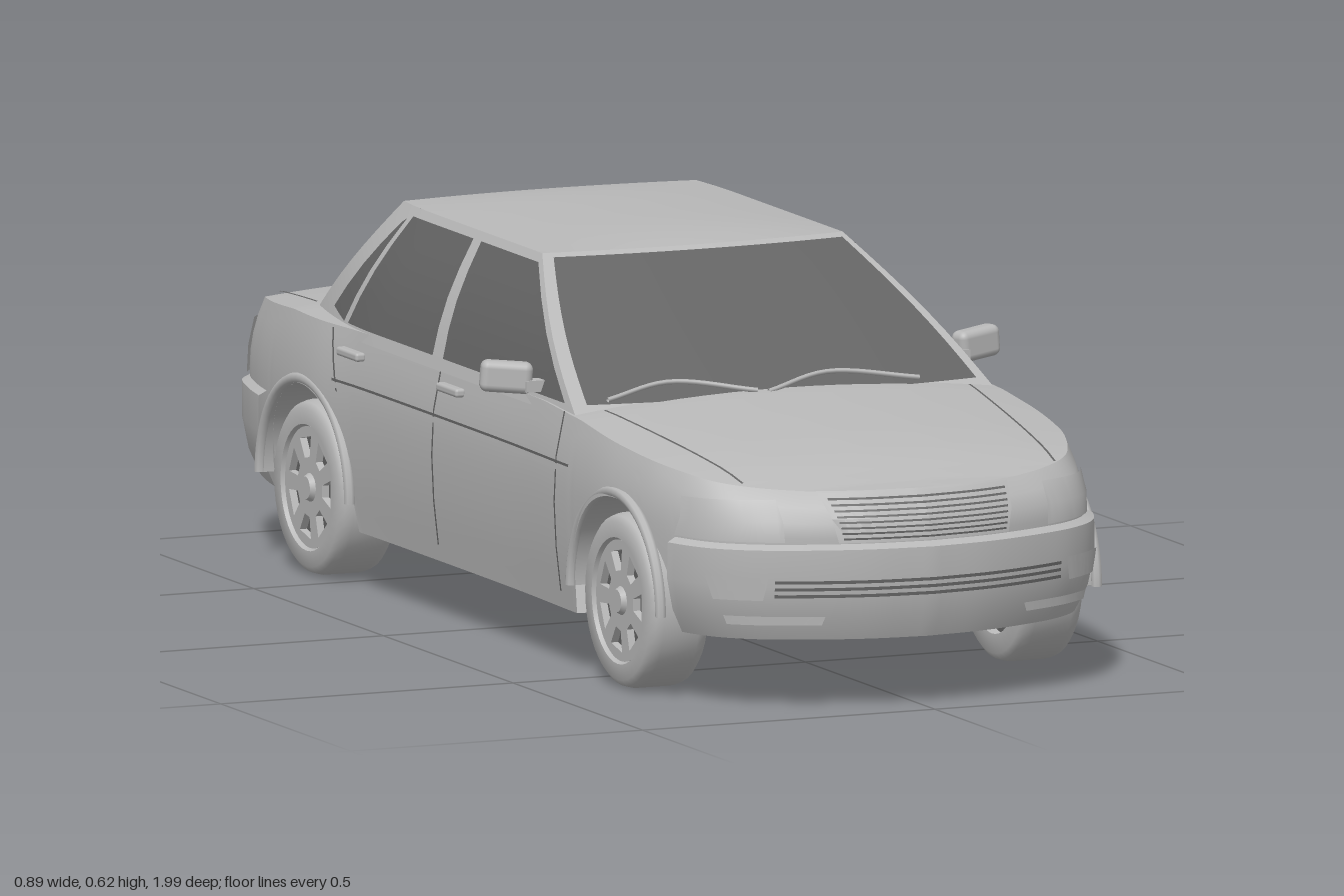
import * as THREE from 'three';
import { toCreasedNormals } from 'three/addons/utils/BufferGeometryUtils.js';
import { ParametricGeometry } from 'three/addons/geometries/ParametricGeometry.js';
import { RoundedBoxGeometry } from 'three/addons/geometries/RoundedBoxGeometry.js';

const { lerp, clamp } = THREE.MathUtils;
const N = 180, ARCH_R = 0.165, AXLE_Y = 0.138, AXLES = [0.61, -0.59];

// Half outline of the car seen from above, nose to tail: [x, z]
const outline = new THREE.CatmullRomCurve3([
  [0, 0.978], [0.1, 0.966], [0.2, 0.935], [0.27, 0.9], [0.32, 0.85], [0.36, 0.74], [0.38, 0.6], [0.38, 0.45],
  [0.373, 0.2], [0.371, -0.2], [0.373, -0.42], [0.38, -0.56], [0.366, -0.72], [0.342, -0.85], [0.312, -0.935],
  [0.27, -0.966], [0.14, -0.98], [0, -0.985],
].map(([x, z]) => new THREE.Vector3(x, 0, z)), false, 'centripetal').getSpacedPoints(N);

// Linear lookup in a short table of [key, value], keys rising
function lookup(table, k) {
  if (k <= table[0][0]) return table[0][1];
  for (let i = 1; i < table.length; i++) {
    const [a, va] = table[i - 1], [b, vb] = table[i];
    if (k <= b) return lerp(va, vb, (k - a) / (b - a));
  }
  return table[table.length - 1][1];
}
const shoulderY = z => lookup([[-0.985, 0.38], [-0.9, 0.392], [-0.67, 0.408], [-0.4, 0.41], [0.3, 0.408], [0.45, 0.4], [0.8, 0.362], [0.94, 0.342]], z);
const sillY = z => lookup([[-0.6, 0.112], [-0.5, 0.093], [0.5, 0.093], [0.6, 0.112]], z);
function bottomY(z) {
  let y = sillY(z);
  for (const c of AXLES) {
    const d = Math.abs(z - c);
    if (d < ARCH_R) y = Math.max(y, AXLE_Y + Math.sqrt(ARCH_R ** 2 - d * d));
  }
  return y;
}

// Point on the body skin at outline index i and height y, pushed out by off: [x, z]
function skin(i, y, off = 0) {
  const p = outline[i], a = outline[Math.max(0, i - 1)], b = outline[Math.min(N, i + 1)];
  const k = clamp((y - 0.28) / (shoulderY(p.z) - 0.28), 0, 1), d = clamp((0.28 - y) / 0.18, 0, 1);
  const end = clamp((Math.abs(p.z) - 0.7) / 0.2, 0, 1), len = Math.hypot(b.x - a.x, b.z - a.z);
  const inX = (0.018 * k * k + 0.015 * d * d) * Math.min(1, p.x / 0.3);
  const inZ = ((p.z > 0 ? 0.04 : 0.018) * k * k + 0.008 * d) * end * Math.sign(p.z);
  return [p.x - inX + off * (a.z - b.z) / len, p.z - inZ + off * (b.x - a.x) / len];
}
// Skin depth at the nose (dir 1) or tail (dir -1) for a given x
function endZ(x, y, off, dir) {
  let prev = null;
  for (let n = 0; n <= N; n++) {
    const p = skin(dir > 0 ? n : N - n, y, off);
    if (p[0] >= Math.abs(x)) return prev ? lerp(prev[1], p[1], (Math.abs(x) - prev[0]) / (p[0] - prev[0] || 1)) : p[1];
    prev = p;
  }
  return prev[1];
}
// Skin half width for a given z
function sideX(z, y, off = 0) {
  let prev = skin(0, y, off);
  for (let n = 1; n <= N; n++) {
    const p = skin(n, y, off);
    if (p[1] <= z) return lerp(prev[0], p[0], (prev[1] - z) / (prev[1] - p[1] || 1));
    prev = p;
  }
  return 0;
}
const deckY = (x, z) => {
  const e = sideX(z, shoulderY(z));
  return shoulderY(z) + 0.022 * (e / 0.36) ** 2 * (1 - (x / e) ** 2);
};

// Cabin rules: v runs from belt (0) to roof edge (1)
const cabinY = v => 0.395 + 0.205 * v;
const windscreenZ = v => 0.43 - 0.365 * v;
const rearScreenZ = v => -0.685 + 0.2 * v + 0.012 * Math.sin(Math.PI * v);
const cabinX = (y, z) => 0.352 - 0.5 * (y - 0.41) + 0.012 * Math.sin(Math.PI * clamp((y - 0.395) / 0.205, 0, 1))
  - 0.4 * Math.max(0, -z - 0.35) ** 2;
function screenPoint(s, v, dir, off) {
  const z = dir > 0 ? windscreenZ(v) : rearScreenZ(v), y = cabinY(v);
  const bow = (0.035 - 0.015 * v) * (1 - s * s);
  return [cabinX(y, z) * s, y + off, z + dir * (bow + off)];
}

export function createModel() {
  const car = new THREE.Group();
  car.name = 'saloonCar';
  const material = (name, color) => new THREE.MeshStandardMaterial({ name, color, side: THREE.DoubleSide });
  const paint = material('greyPaint', 0xb8b8b8), glass = material('darkGlass', 0x646464);

  const add = (name, geo, mat = paint, parent = car) => {
    const m = new THREE.Mesh(geo, mat);
    m.name = name;
    parent.add(m);
    return m;
  };
  const surface = (name, fn, nu, nv, mat = paint) => add(name, toCreasedNormals(
    new ParametricGeometry((u, v, t) => t.set(...fn(u, v)), nu, nv), 0.6), mat);
  // Bilinear blend of four corners: bottom a, b, then top c, d
  const blend = ([a, b, c, d], u, v) => [0, 1].map(k => lerp(lerp(a[k], b[k], u), lerp(d[k], c[k], u), v));
  const rect = (x0, x1, y0, y1) => [[x0, y0], [x1, y0], [x1, y1], [x0, y1]];
  const endPlate = (name, quad, off, dir, mat) => surface(name, (u, v) => {
    const [x, y] = blend(quad, u, v);
    return [x, y, endZ(x, y, off, dir)];
  }, 16, 2, mat);
  const sidePlate = (name, quad, mat, rule, off = 0.003) => [1, -1].forEach(s => surface(name, (u, v) => {
    const [z, y] = blend(quad, u, v);
    return [s * (rule(z, y) + off), y, z];
  }, 12, 4, mat));
  const mirrorQuad = quad => quad.map(([x, y]) => [-x, y]);

  // Lower body, bonnet and boot lid, floor
  surface('bodySides', (u, v) => {
    const s = 2 * u - 1, i = Math.round(Math.abs(s) * N), z0 = outline[i].z;
    const y = lerp(bottomY(z0), shoulderY(z0), v), [x, z] = skin(i, y);
    return [Math.sign(s) * x, y, z];
  }, 2 * N, 10);
  surface('bonnetAndBoot', (u, v) => {
    const i = Math.round(u * N), y = shoulderY(outline[i].z), [x, z] = skin(i, y), s = 2 * v - 1;
    return [x * s, y + 0.022 * (x / 0.36) ** 2 * (1 - s * s), z];
  }, N, 16);
  surface('floor', (u, v) => {
    const i = Math.round(u * N), z0 = outline[i].z, y = sillY(z0), [x, z] = skin(i, y);
    return [(bottomY(z0) > y ? 0.25 : x) * (2 * v - 1), y, z];
  }, N, 4);

  // Bumpers wrap each end as far as the wheel arch
  const bumperProfile = [[0, 0.264], [0.016, 0.257], [0.02, 0.2], [0.014, 0.15], [0, 0.112]];
  for (const dir of [1, -1]) {
    const reach = dir > 0 ? outline.findIndex(p => p.z < 0.785) : N - outline.findIndex(p => p.z < -0.765);
    surface(dir > 0 ? 'frontBumper' : 'rearBumper', (u, v) => {
      const s = 2 * u - 1, n = Math.round(Math.abs(s) * reach);
      const [off, y] = bumperProfile[Math.round(v * 4)], [x, z] = skin(dir > 0 ? n : N - n, y, dir > 0 ? off : off * 0.8);
      return [Math.sign(s) * x, y, z];
    }, 2 * reach, 4);
  }

  // Cabin shell and its glass
  for (const dir of [1, -1]) {
    const label = dir > 0 ? 'windscreen' : 'rearWindow';
    surface(label + 'Frame', (u, v) => screenPoint(2 * u - 1, v, dir, 0), 16, 8);
    surface(label, (u, v) => screenPoint(lerp(-0.94, 0.94, u), lerp(dir > 0 ? 0.08 : 0.13, 0.96, v), dir, 0.004), 16, 8, glass);
    surface('cabinSide', (u, v) => {
      const y = cabinY(v), z = lerp(rearScreenZ(v), windscreenZ(v), u);
      return [dir * cabinX(y, z), y, z];
    }, 20, 8);
  }
  surface('roof', (u, v) => {
    const s = 2 * u - 1, bow = 0.02 * (1 - s * s);
    const z0 = lerp(rearScreenZ(1), windscreenZ(1), v), z = lerp(rearScreenZ(1) - bow, windscreenZ(1) + bow, v);
    return [cabinX(0.6, z0) * s, 0.6 + 0.015 * (1 - s * s) * (1 - (2 * v - 1) ** 4), z];
  }, 16, 12);
  const cabinRule = (z, y) => cabinX(y, z);
  sidePlate('frontDoorWindow', [[0.375, 0.415], [-0.095, 0.415], [-0.145, 0.588], [0.075, 0.588]], glass, cabinRule);
  sidePlate('rearDoorWindow', [[-0.135, 0.415], [-0.475, 0.415], [-0.41, 0.588], [-0.175, 0.588]], glass, cabinRule);
  sidePlate('quarterWindow', [[-0.495, 0.415], [-0.565, 0.428], [-0.44, 0.575], [-0.428, 0.582]], glass, cabinRule);

  // Door seams and side moulding
  const seam = (z0, y0, z1, y1) => sidePlate('doorSeam', [[z0, y0], [z0 - 0.005, y0], [z1 - 0.005, y1], [z1, y1]], glass, sideX, 0.0015);
  seam(-0.1, 0.12, -0.098, 0.405);
  seam(0.39, 0.12, 0.39, 0.405);
  seam(-0.46, 0.31, -0.5, 0.405);
  sidePlate('sideMoulding', rect(0.44, -0.48, 0.316, 0.325), paint, sideX, 0.005);
  sidePlate('sideMouldingLine', rect(0.44, -0.48, 0.325, 0.329), glass, sideX, 0.002);

  // Bonnet and boot shut lines
  for (const s of [1, -1]) for (const [x0, z0, x1, z1] of [[0.31, 0.43, 0.265, 0.86], [0.305, -0.69, 0.27, -0.93]])
    surface('lidShutLine', (u, v) => {
      const x = lerp(x0, x1, u) + 0.004 * v, z = lerp(z0, z1, u);
      return [s * x, deckY(x, z) + 0.0025, z];
    }, 12, 1, glass);

  // Grille with slats, lower intake, lamps
  endPlate('grilleFrame', [[-0.145, 0.266], [0.145, 0.266], [0.162, 0.34], [-0.162, 0.34]], 0.004, 1);
  for (let i = 0; i < 8; i++) {
    const y = 0.271 + i * 0.0085, w = 0.139 + i * 0.0018;
    endPlate('grilleGap', rect(-w, w, y, y + 0.003), 0.006, 1, glass);
  }
  for (let i = 0; i < 3; i++) endPlate('intakeGap', rect(-0.245, 0.245, 0.182 + i * 0.011, 0.187 + i * 0.011), 0.022, 1, glass);
  const lamps = [
    ['headlight', [[0.225, 0.268], [0.352, 0.268], [0.342, 0.33], [0.228, 0.332]], 0.005, 1],
    ['indicator', [[0.262, 0.178], [0.325, 0.178], [0.335, 0.215], [0.255, 0.215]], 0.025, 1],
    ['fogLamp', [[0.175, 0.138], [0.305, 0.138], [0.31, 0.152], [0.17, 0.152]], 0.021, 1],
    ['tailLight', [[0.17, 0.268], [0.325, 0.268], [0.312, 0.355], [0.19, 0.355]], 0.005, -1],
  ];
  for (const [name, quad, off, dir] of lamps) for (const q of [quad, mirrorQuad(quad)]) endPlate(name, q, off, dir);
  endPlate('bootSeam', rect(-0.17, 0.17, 0.3, 0.304), 0.003, -1, glass);

  // Wheel parts, shared by all four wheels; axis along x, outer face at +x
  const tyreGeo = new THREE.LatheGeometry([[0.094, -0.05], [0.125, -0.05], [0.134, -0.043], [0.138, -0.03], [0.138, 0.03],
    [0.134, 0.043], [0.125, 0.05], [0.1, 0.05], [0.094, 0.04]].map(p => new THREE.Vector2(...p)), 40).rotateZ(-Math.PI / 2);
  const rimShape = new THREE.Shape().absarc(0, 0, 0.096, 0, Math.PI * 2);
  for (let i = 0; i < 7; i++) {
    const a = i / 7 * Math.PI * 2, pt = (r, d) => new THREE.Vector2(r * Math.cos(a + d), r * Math.sin(a + d));
    rimShape.holes.push(new THREE.Path([pt(0.048, -0.2), pt(0.048, 0.2), pt(0.082, 0.27), pt(0.082, -0.27)]));
  }
  const rimGeo = new THREE.ExtrudeGeometry(rimShape, { depth: 0.012, bevelEnabled: false, curveSegments: 40 })
    .rotateY(Math.PI / 2).translate(0.032, 0, 0);
  const discGeo = new THREE.CylinderGeometry(0.096, 0.096, 0.06, 32).rotateZ(Math.PI / 2);
  const hubGeo = new THREE.CylinderGeometry(0.018, 0.024, 0.01, 20).rotateZ(-Math.PI / 2).translate(0.047, 0, 0);

  for (const s of [1, -1]) {
    for (const z of AXLES) {
      const wheel = new THREE.Group();
      wheel.name = z > 0 ? 'frontWheel' : 'rearWheel';
      add('tyre', toCreasedNormals(tyreGeo, 0.7), paint, wheel);
      add('rim', rimGeo, paint, wheel);
      add('brakeDisc', discGeo, glass, wheel);
      add('hubCap', hubGeo, paint, wheel);
      wheel.position.set(s * 0.32, AXLE_Y, z);
      wheel.rotation.y = s > 0 ? 0 : Math.PI;
      car.add(wheel);
      // Wheel arch: liner, inner wall and rounded lip
      add('archLiner', new THREE.CylinderGeometry(ARCH_R, ARCH_R, 0.12, 32, 1, true, 0, Math.PI)
        .rotateZ(Math.PI / 2)).position.set(s * 0.31, AXLE_Y, z);
      add('archWall', new THREE.CircleGeometry(ARCH_R, 32, 0, Math.PI).rotateY(Math.PI / 2)).position.set(s * 0.25, AXLE_Y, z);
      add('archLip', new THREE.TorusGeometry(ARCH_R + 0.008, 0.009, 8, 32, Math.PI).rotateY(Math.PI / 2))
        .position.set(s * 0.373, AXLE_Y, z);
    }
    // Door mirror and stalk
    const mirror = add('doorMirror', new RoundedBoxGeometry(0.082, 0.05, 0.034, 3, 0.012));
    mirror.position.set(s * 0.402, 0.442, 0.252);
    mirror.rotation.set(0, s * 0.32, s * 0.08);
    add('mirrorStalk', new THREE.BoxGeometry(0.05, 0.018, 0.025)).position.set(s * 0.355, 0.428, 0.268);
    for (const z of [-0.04, -0.42])
      add('doorHandle', new RoundedBoxGeometry(0.018, 0.014, 0.08, 2, 0.005)).position.set(s * (sideX(z, 0.375) + 0.006), 0.375, z);
    // Exhaust tip
    add('exhaustTip', new THREE.CylinderGeometry(0.016, 0.016, 0.07, 16, 1, true).rotateX(Math.PI / 2 - 0.2))
      .position.set(s * 0.2, 0.115, -0.955);
  }

  // Wipers lie along the foot of the windscreen
  for (const [s0, s1] of [[-0.85, -0.15], [-0.1, 0.65]]) {
    const path = new THREE.CatmullRomCurve3([[s0, 0.09], [lerp(s0, s1, 0.45), 0.18], [s1, 0.1]]
      .map(([s, v]) => new THREE.Vector3(...screenPoint(s, v, 1, 0.009))));
    add('wiper', new THREE.TubeGeometry(path, 16, 0.004, 6));
  }
  return car;
}
